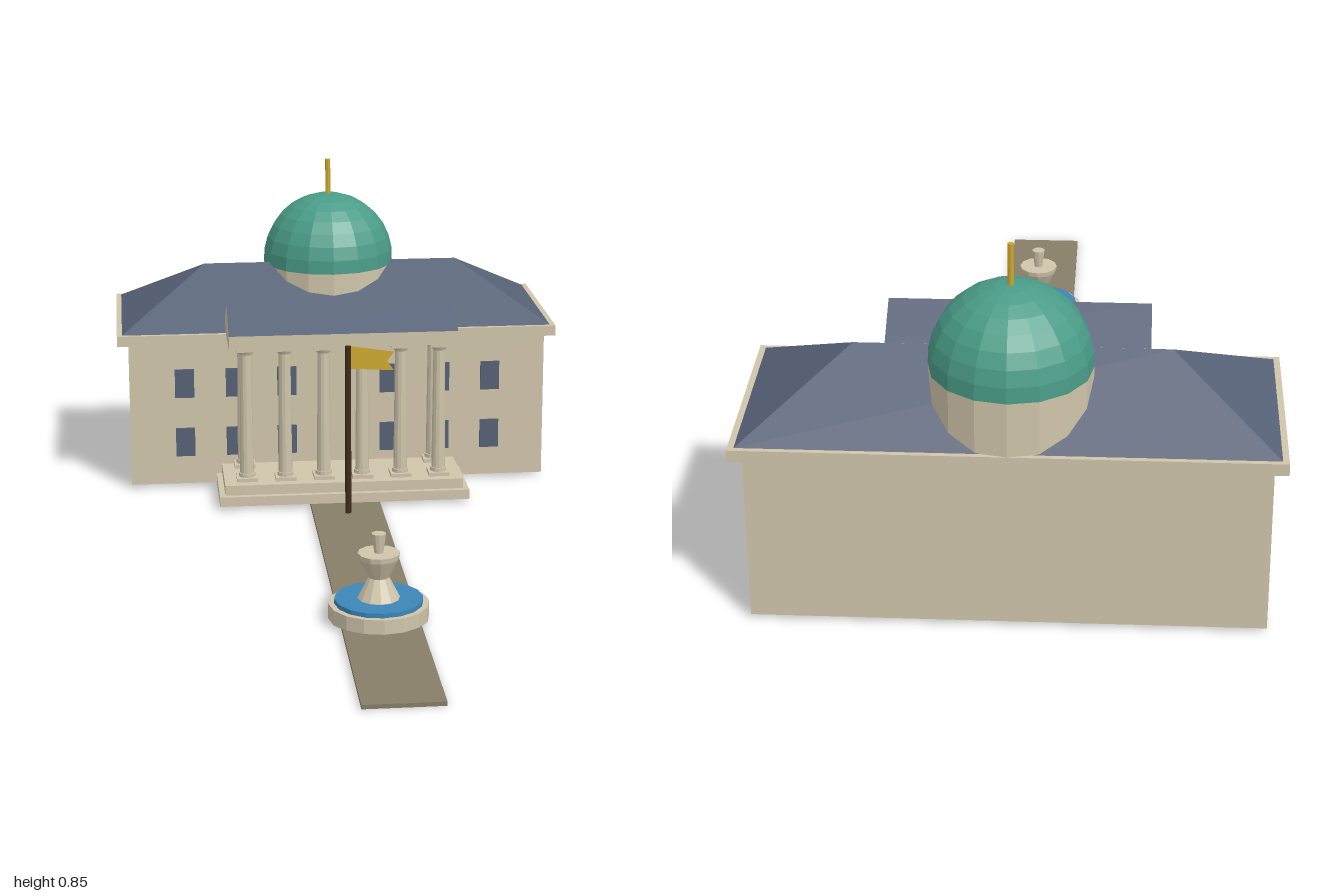
import * as THREE from 'three';

export function createModel() {
  const model = new THREE.Group();
  model.name = 'domedHall';

  const mat = (name, color, extra = {}) => {
    const m = new THREE.MeshStandardMaterial({ color, ...extra });
    m.name = name;
    return m;
  };
  const stone = mat('stone', 0xd0c5ab);
  const slate = mat('slate', 0x566176);
  const copper = mat('copper', 0x4a9c88);
  const gold = mat('gold', 0xcda52f);
  const flagCloth = mat('flagCloth', 0xcfa82e, { side: THREE.DoubleSide });
  const darkWood = mat('darkWood', 0x3d2a1c);
  const water = mat('water', 0x3b86b8);
  const paving = mat('paving', 0x877e68);

  // Adds a faceted mesh
  const add = (parent, name, geo, material, x = 0, y = 0, z = 0) => {
    const flat = geo.index ? geo.toNonIndexed() : geo;
    flat.computeVertexNormals();
    const mesh = new THREE.Mesh(flat, material);
    mesh.name = name;
    mesh.position.set(x, y, z);
    parent.add(mesh);
    return mesh;
  };
  // Box given by its half width, height range and depth range
  const slab = (parent, name, hw, y0, y1, z0, z1, material, x = 0) =>
    add(parent, name, new THREE.BoxGeometry(hw * 2, y1 - y0, z1 - z0), material, x, (y0 + y1) / 2, (z0 + z1) / 2);
  const lathe = (points, sides) =>
    new THREE.LatheGeometry(points.map(([r, y]) => new THREE.Vector2(r, y)), sides);

  // Ridged roof; a ridge as long as the eaves makes a gable. Group 0 slopes, group 1 ends.
  const roof = (hw, ridge, y0, y1, z0, z1) => {
    const zm = (z0 + z1) / 2;
    const a = [-hw, y0, z1], b = [hw, y0, z1], c = [hw, y0, z0], d = [-hw, y0, z0];
    const l = [-ridge, y1, zm], r = [ridge, y1, zm];
    const faces = [a, b, r, a, r, l, c, d, l, c, l, r, b, c, r, d, a, l, a, d, c, a, c, b];
    const geo = new THREE.BufferGeometry();
    geo.setAttribute('position', new THREE.Float32BufferAttribute(faces.flat(), 3));
    geo.addGroup(0, 12, 0);
    geo.addGroup(12, 12, 1);
    return geo;
  };

  // Main block, cornice and hipped roof
  slab(model, 'mainBlock', 0.567, 0.01, 0.405, -0.985, -0.526, stone);
  slab(model, 'cornice', 0.597, 0.405, 0.433, -1, -0.515, stone);
  add(model, 'hippedRoof', roof(0.583, 0.35, 0.433, 0.573, -0.988, -0.527), [slate, slate]);

  // Two rows of front windows
  const windows = new THREE.Group();
  windows.name = 'windows';
  model.add(windows);
  for (const y of [0.129, 0.295])
    for (const x of [0.14, 0.28, 0.418])
      for (const side of [-1, 1])
        slab(windows, 'window', 0.026, y - 0.04, y + 0.04, -0.53, -0.522, slate, side * x);

  // Drum, dome and spire
  const domeZ = -0.819;
  add(model, 'drum', new THREE.CylinderGeometry(0.18, 0.18, 0.135, 16), stone, 0, 0.4955, domeZ);
  add(model, 'dome', new THREE.SphereGeometry(0.181, 16, 8, 0, Math.PI * 2, 0, Math.PI * 0.52), copper, 0, 0.572, domeZ);
  add(model, 'spire', new THREE.CylinderGeometry(0.007, 0.007, 0.105, 8), gold, 0, 0.796, domeZ);

  // Portico steps
  slab(model, 'lowerStep', 0.335, 0.01, 0.036, -0.526, -0.317, stone);
  slab(model, 'upperStep', 0.32, 0.036, 0.063, -0.526, -0.332, stone);

  // Columns: six in front, one at each end behind
  const columns = new THREE.Group();
  columns.name = 'columns';
  model.add(columns);
  const column = (x, z) => {
    const g = new THREE.Group();
    g.name = 'column';
    g.position.set(x, 0, z);
    columns.add(g);
    slab(g, 'plinth', 0.028, 0.063, 0.073, -0.028, 0.028, stone);
    add(g, 'base', new THREE.CylinderGeometry(0.022, 0.022, 0.01, 12), stone, 0, 0.078, 0);
    add(g, 'shaft', new THREE.CylinderGeometry(0.0155, 0.0185, 0.34, 12), stone, 0, 0.252, 0);
    add(g, 'collar', new THREE.CylinderGeometry(0.024, 0.018, 0.012, 12), stone, 0, 0.418, 0);
    slab(g, 'capital', 0.028, 0.423, 0.433, -0.028, 0.028, stone);
  };
  for (let i = 0; i < 6; i++) column((i - 2.5) * 0.1035, -0.386);
  for (const side of [-1, 1]) column(side * 0.259, -0.505);

  // Entablature and gabled porch roof
  slab(model, 'entablature', 0.304, 0.433, 0.47, -0.56, -0.348, stone);
  add(model, 'porchRoof', roof(0.304, 0.304, 0.47, 0.532, -0.56, -0.348), [slate, stone]);

  // Path
  slab(model, 'path', 0.093, 0, 0.01, -0.447, 1, paving);

  // Fountain
  const fountain = new THREE.Group();
  fountain.name = 'fountain';
  fountain.position.z = 0.495;
  model.add(fountain);
  add(fountain, 'basin', new THREE.CylinderGeometry(0.119, 0.119, 0.037, 16), stone, 0, 0.0265, 0);
  add(fountain, 'water', new THREE.CylinderGeometry(0.105, 0.105, 0.012, 16), water, 0, 0.05, 0);
  add(fountain, 'pedestal', lathe([[0.05, 0.05], [0.05, 0.057], [0.024, 0.108], [0.048, 0.155], [0.05, 0.168], [0, 0.168]], 12), stone);
  add(fountain, 'finial', new THREE.CylinderGeometry(0.017, 0.011, 0.047, 10), stone, 0, 0.1915, 0);

  // Flagpole and swallow-tailed flag
  add(model, 'flagpole', new THREE.CylinderGeometry(0.008, 0.008, 0.456, 8), darkWood, 0, 0.238, -0.239);
  const flag = new THREE.Shape(
    [[0.006, 0.405], [0.12, 0.398], [0.102, 0.423], [0.12, 0.448], [0.006, 0.466]].map(([x, y]) => new THREE.Vector2(x, y)));
  add(model, 'flag', new THREE.ShapeGeometry(flag), flagCloth, 0, 0, -0.239);

  return model;
}
